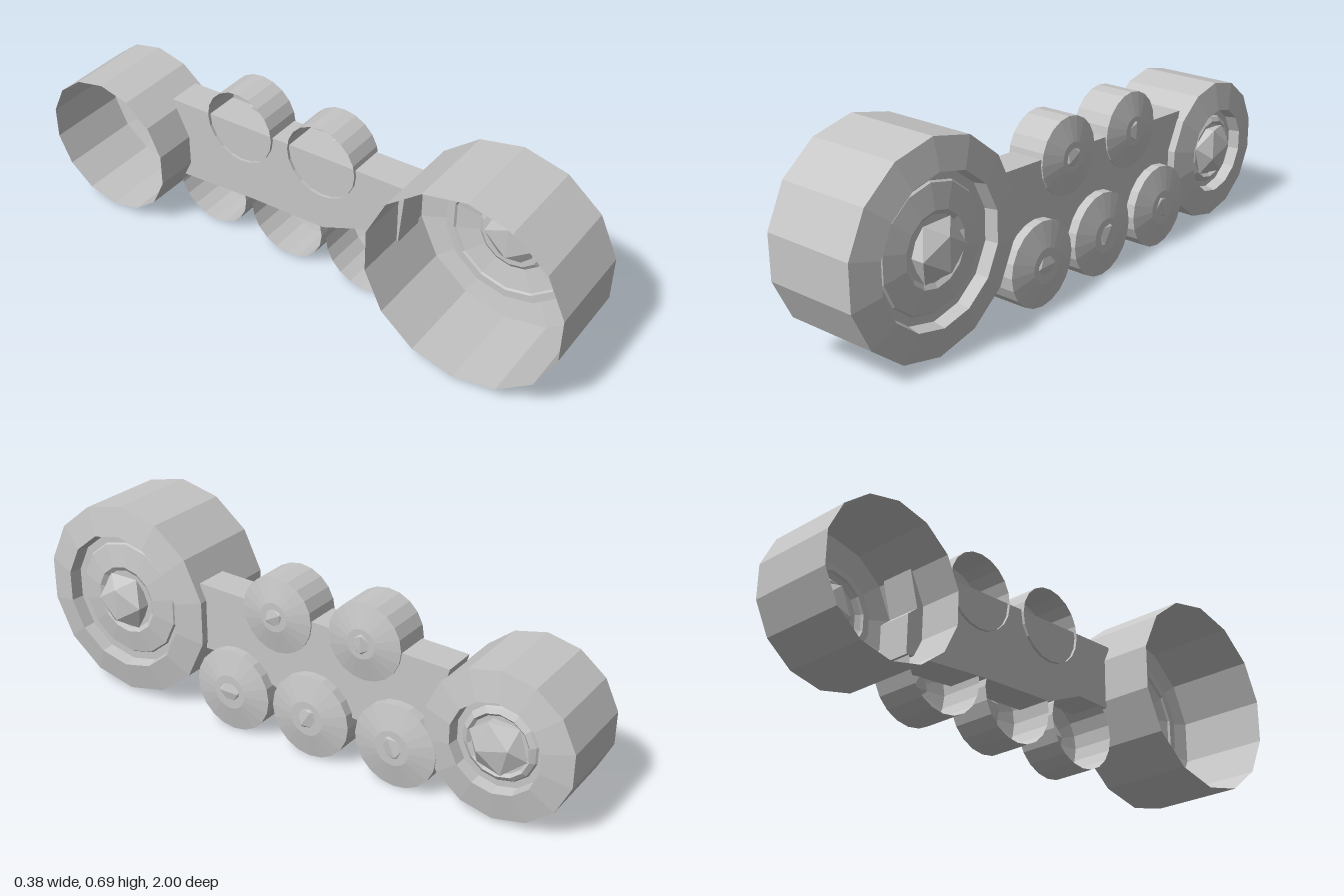
import * as THREE from 'three';

export function createModel() {
  const group = new THREE.Group();
  const grey = new THREE.MeshStandardMaterial({ color: 0xc6c6c6, flatShading: true, side: THREE.DoubleSide });
  grey.name = 'plain grey';

  // Open-backed drum turned about the x axis; profile holds [radius, x] pairs.
  function drum(name, profile, sides, y, z) {
    const points = profile.map(([r, x]) => new THREE.Vector2(r, x));
    const geometry = new THREE.LatheGeometry(points, sides, Math.PI / 2);
    geometry.rotateZ(-Math.PI / 2);
    const mesh = new THREE.Mesh(geometry, grey);
    mesh.name = name;
    mesh.position.set(0, y, z);
    group.add(mesh);
  }

  // Faceted, flattened hub cap facing +x.
  function hub(name, radius, x, depth, y, z, turn) {
    const geometry = new THREE.IcosahedronGeometry(radius, 0);
    geometry.rotateX(turn);
    geometry.scale(depth / (radius * 0.85), 1, 1);
    const mesh = new THREE.Mesh(geometry, grey);
    mesh.name = name;
    mesh.position.set(x, y, z);
    group.add(mesh);
  }

  // Large front wheel with recessed face
  drum('frontWheel', [
    [0.34, -0.19], [0.34, 0.137], [0.24, 0.158], [0.232, 0.115],
    [0.205, 0.115], [0.2, 0.122], [0.12, 0.135], [0.105, 0.125], [0, 0.125],
  ], 14, 0.35, 0.668);
  hub('frontHub', 0.105, 0.14, 0.05, 0.35, 0.668, Math.PI / 2);

  // Smaller rear wheel
  drum('rearWheel', [
    [0.25, -0.16], [0.25, 0.137], [0.152, 0.155], [0.146, 0.115],
    [0.125, 0.115], [0.12, 0.122], [0.105, 0.132], [0.095, 0.122], [0, 0.122],
  ], 14, 0.258, -0.756);
  hub('rearHub', 0.1, 0.13, 0.042, 0.258, -0.756, 0.3);

  // Three road wheels along the ground
  [0.21, -0.098, -0.415].forEach((z, i) => {
    drum('roadWheel' + (i + 1), [[0.145, -0.01], [0.145, 0.142], [0.06, 0.16], [0, 0.16]], 20, 0.145, z);
    hub('roadHub' + (i + 1), 0.064, 0.136, 0.03, 0.147, z, i);
  });

  // Two return rollers on top
  [0.047, -0.28].forEach((z, i) => {
    drum('returnRoller' + (i + 1), [[0.131, -0.02], [0.131, 0.115], [0.05, 0.134], [0, 0.134]], 20, 0.453, z);
    hub('returnHub' + (i + 1), 0.055, 0.112, 0.028, 0.453, z, i + 0.5);
  });

  // Side frame joining the wheels, drawn as [z, y] and extruded along x
  const outline = [
    [0.36, 0.482], [-0.575, 0.445], [-0.535, 0.3], [-0.57, 0.27],
    [-0.57, 0.14], [-0.25, 0.17], [0.05, 0.185], [0.2, 0.25], [0.34, 0.25],
  ];
  const shape = new THREE.Shape(outline.map(([z, y]) => new THREE.Vector2(-z, y)));
  const geometry = new THREE.ExtrudeGeometry(shape, { depth: 0.12, bevelEnabled: false });
  geometry.rotateY(Math.PI / 2);
  const frame = new THREE.Mesh(geometry, grey);
  frame.name = 'sideFrame';
  frame.position.x = -0.01;
  group.add(frame);

  return group;
}
